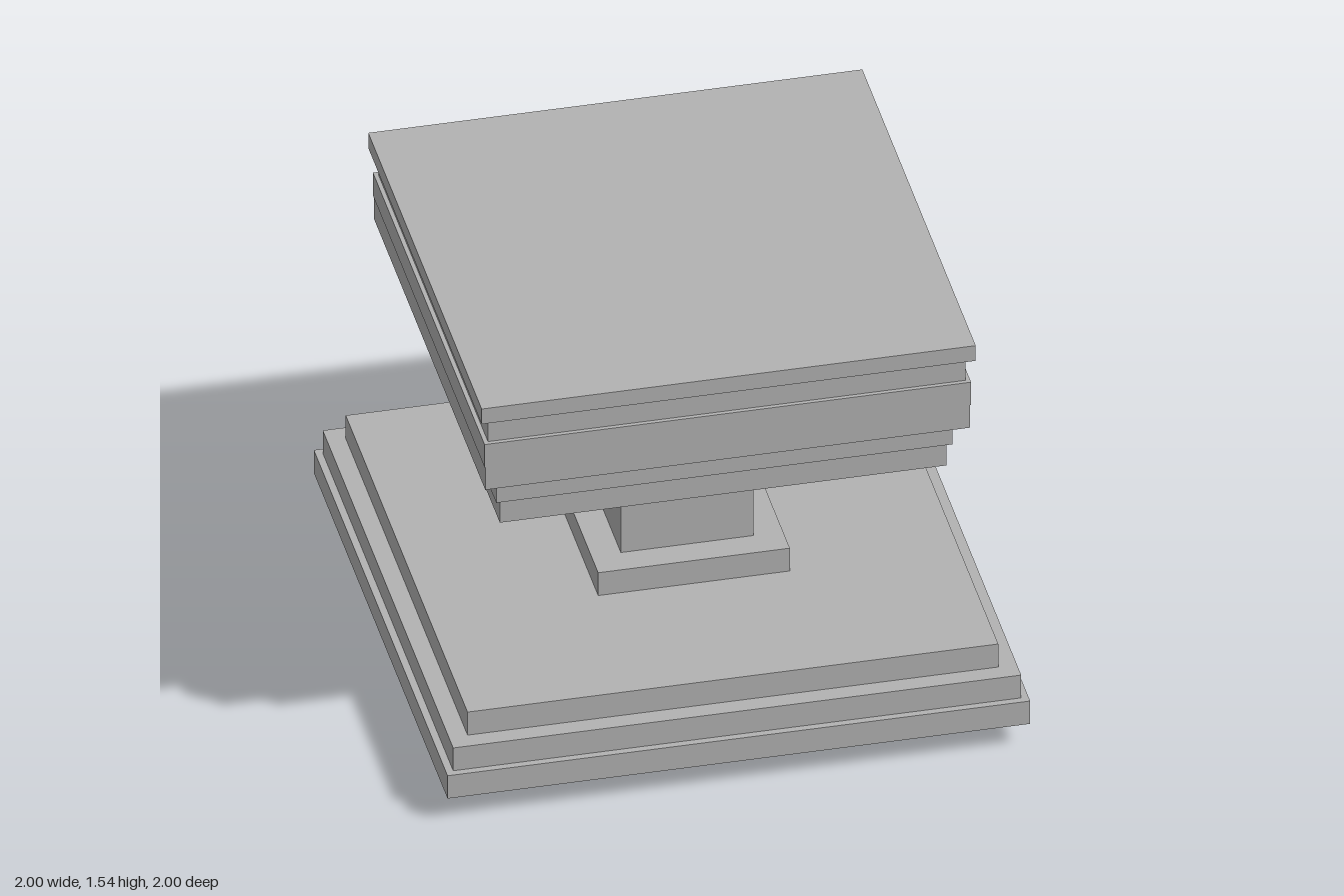
import * as THREE from 'three';

// Square stepped pedestal: each tier is [name, half width, bottom, top]
const TIERS = [
  ['foot', 0.228, 0, 0.093],
  ['baseSlab', 1.0, 0.093, 0.185],
  ['baseMiddleStep', 0.975, 0.185, 0.277],
  ['baseTopStep', 0.911, 0.277, 0.37],
  ['postCollar', 0.329, 0.37, 0.462],
  ['post', 0.228, 0.462, 0.926],
  ['capNeck', 0.436, 0.926, 1.018],
  ['capLowerStep', 0.767, 1.018, 1.111],
  ['capSecondStep', 0.783, 1.111, 1.203],
  ['capLowerBand', 0.832, 1.203, 1.296],
  ['capUpperBand', 0.835, 1.296, 1.388],
  ['capRecess', 0.82, 1.388, 1.481],
  ['topSlab', 0.848, 1.481, 1.542],
];

export function createModel() {
  const model = new THREE.Group();
  model.name = 'pedestal';
  const stone = new THREE.MeshStandardMaterial({ color: 0xb2b2b2 });
  stone.name = 'grey stone';

  for (const [name, half, bottom, top] of TIERS) {
    const tier = new THREE.Mesh(new THREE.BoxGeometry(half * 2, top - bottom, half * 2), stone);
    tier.name = name;
    tier.position.y = (bottom + top) / 2;
    model.add(tier);
  }
  return model;
}
